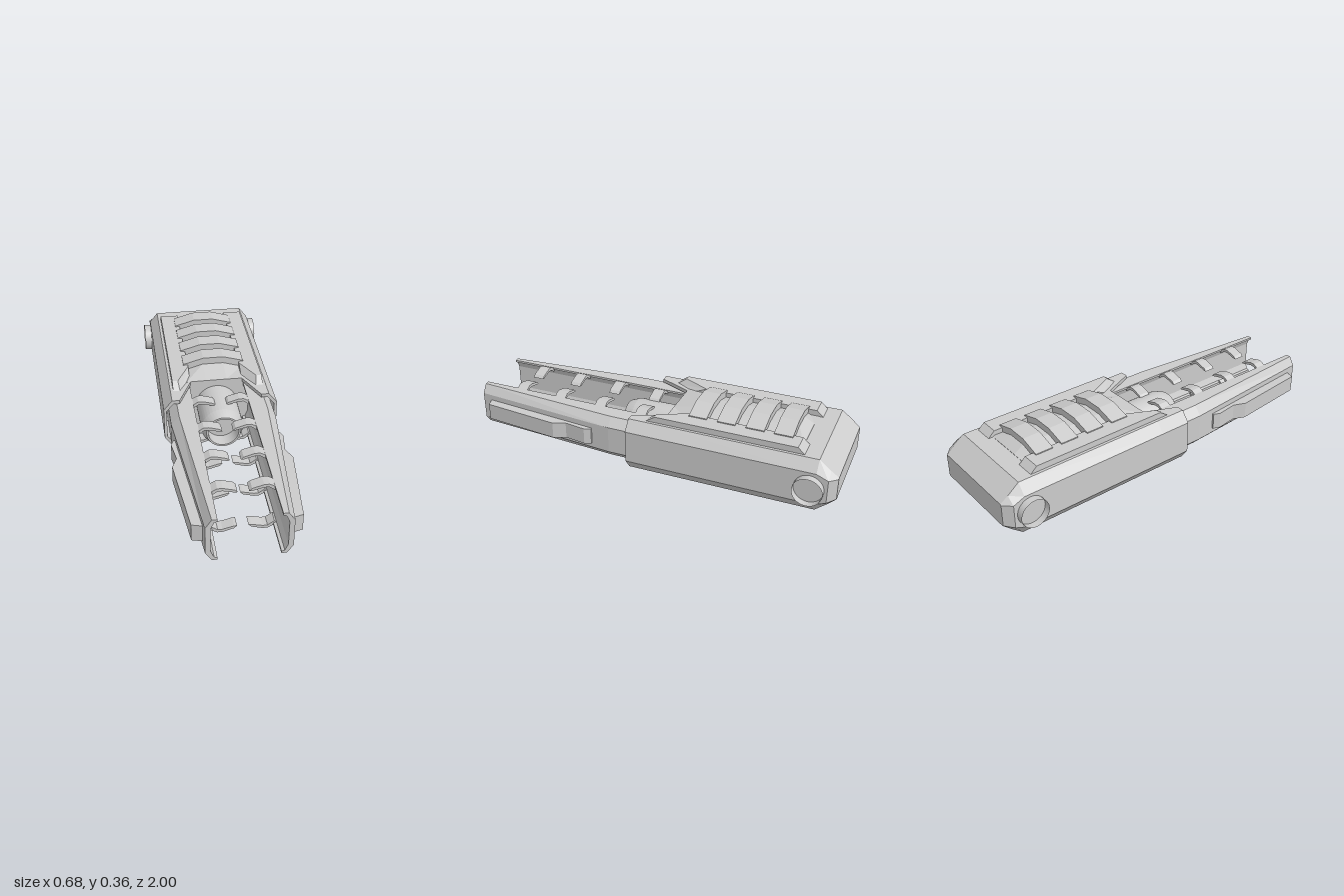
import * as THREE from 'three';
import { toCreasedNormals } from 'three/addons/utils/BufferGeometryUtils.js';

const material = new THREE.MeshStandardMaterial({ color: 0xcccccc });
const openMaterial = new THREE.MeshStandardMaterial({ color: 0xcccccc, side: THREE.DoubleSide });

// Flat-shaded solid through matching [x, y] cross-sections at rising depths, capped at both ends
function loft(sections, depths) {
  const vecs = sections.map(s => s.map(([x, y]) => new THREE.Vector2(x, y)));
  if (THREE.ShapeUtils.isClockWise(vecs[0])) vecs.forEach(s => s.reverse());
  const pos = [];
  const put = (k, i) => pos.push(vecs[k][i].x, vecs[k][i].y, depths[k]);
  const n = vecs[0].length, last = vecs.length - 1;
  for (let k = 0; k < last; k++) {
    for (let i = 0; i < n; i++) {
      const j = (i + 1) % n;
      put(k, i); put(k, j); put(k + 1, j);
      put(k, i); put(k + 1, j); put(k + 1, i);
    }
  }
  for (const [a, b, c] of THREE.ShapeUtils.triangulateShape(vecs[0], [])) {
    put(0, a); put(0, c); put(0, b);
  }
  for (const [a, b, c] of THREE.ShapeUtils.triangulateShape(vecs[last], [])) {
    put(last, a); put(last, b); put(last, c);
  }
  const geo = new THREE.BufferGeometry();
  geo.setAttribute('position', new THREE.Float32BufferAttribute(pos, 3));
  geo.computeVertexNormals();
  return geo;
}

// Solid through [x, z] plan outlines at rising heights
function planLoft(plans, heights) {
  return loft(plans.map(p => p.map(([x, z]) => [x, -z])), heights).rotateX(-Math.PI / 2);
}

// Chamfered box section: half width, half flat width, then the four heights
function octagon(w, f, y0, y1, y2, y3) {
  return [[-f, y0], [f, y0], [w, y1], [w, y2], [f, y3], [-f, y3], [-w, y2], [-w, y1]];
}

const flip = (pts, s) => pts.map(([x, y]) => [s * x, y]);

export function createModel() {
  const model = new THREE.Group();
  const add = (name, geo, mat = material, parent = model) => {
    const mesh = new THREE.Mesh(geo, mat);
    mesh.name = name;
    parent.add(mesh);
    return mesh;
  };

  // Main housing, bevelled at the back
  add('housing', loft([
    octagon(0.257, 0.25, 0.085, 0.09, 0.205, 0.21),
    octagon(0.3, 0.255, 0.05, 0.085, 0.21, 0.242),
    octagon(0.3, 0.255, 0, 0.06, 0.235, 0.29),
    octagon(0.3, 0.255, 0, 0.06, 0.235, 0.29),
  ], [-1, -0.96, -0.9, -0.08]));

  // Arched deck between the rails
  const arch = (h) => [[-0.16, 0.28], [0.16, 0.28], [0.16, 0.291], [0.055, 0.292 + h],
    [-0.055, 0.292 + h], [-0.16, 0.291]];
  add('topDeck', loft([arch(0), arch(0.03), arch(0.03), arch(0)], [-0.8, -0.75, -0.21, -0.08]));

  // Four raised ribs across the deck
  const rib = [[-0.165, 0.285], [0.165, 0.285], [0.165, 0.327], [0.055, 0.358],
    [-0.055, 0.358], [-0.165, 0.327]];
  for (const z of [-0.745, -0.6, -0.45, -0.3]) {
    add('topRib', loft([rib, rib], [z, z + 0.095]));
  }

  // Barrel in the front opening
  const barrel = [[0.11, -0.08], [0.11, 0.15], [0.09, 0.2], [0.08, 0.2], [0.08, 0.12], [0, 0.12]]
    .map(p => new THREE.Vector2(...p));
  const barrelGeo = toCreasedNormals(new THREE.LatheGeometry(barrel, 40), 0.4);
  add('barrel', barrelGeo.rotateX(Math.PI / 2).translate(0, 0.145, 0));

  for (const s of [1, -1]) {
    const side = new THREE.Group();
    side.name = s > 0 ? 'leftSide' : 'rightSide';
    model.add(side);
    const put = (name, geo, mat) => add(name, geo, mat, side);

    // Thin front shell, with a slot that widens forwards
    const shell = (slot) => flip([
      [slot, 0.29], [0.255, 0.29], [0.3, 0.235], [0.3, 0.06], [0.255, 0], [slot, 0],
      [slot, 0.02], [0.247, 0.02], [0.285, 0.067], [0.285, 0.227], [0.247, 0.27], [slot, 0.27],
    ], s);
    put('frontShell', loft([shell(0.14), shell(0.215)], [-0.08, 0.09]));

    // Channel-shaped prong, narrowing to the tip
    const channel = (flat, w) => flip([
      [0.145, 0.265], [flat, 0.265], [w, 0.22], [w, 0.073], [flat, 0.03], [0.145, 0.03],
      [0.145, 0.042], [0.16, 0.046], [0.175, 0.08], [0.175, 0.213], [0.16, 0.249], [0.145, 0.253],
    ], s);
    put('prong', loft([channel(0.23, 0.272), channel(0.23, 0.272), channel(0.17, 0.2)],
      [-0.08, 0.2, 1]));

    // Stepped bar on the outside of the prong
    const bar = flip([[0.21, 0.3], [0.272, 0.3], [0.286, 0.335], [0.27, 0.45],
      [0.297, 0.515], [0.254, 0.935], [0.2, 0.95]], s);
    put('prongBar', planLoft([bar, bar], [0.1, 0.19]));

    // Hooked teeth along the upper and lower lips
    const tooth = [[0.165, 0.252], [0.12, 0.277], [0.095, 0.277], [0.04, 0.261], [0.027, 0.247],
      [0.04, 0.247], [0.095, 0.261], [0.118, 0.261], [0.15, 0.238]];
    const upper = flip(tooth, s);
    const lower = upper.map(([x, y]) => [x, 0.293 - y]);
    for (const z of [0.04, 0.275, 0.515, 0.75]) {
      put('upperTooth', loft([upper, upper], [z, z + 0.06]));
      put('lowerTooth', loft([lower, lower], [z, z + 0.06]));
    }

    // Top rail with sloped ends and a slanted inner corner
    const railBase = flip([[0.14, -0.83], [0.24, -0.83], [0.24, 0.005], [0.203, 0.005], [0.14, -0.105]], s);
    const railTop = flip([[0.14, -0.79], [0.24, -0.79], [0.24, -0.05], [0.21, -0.05], [0.14, -0.19]], s);
    put('topRail', planLoft([railBase, railTop], [0.285, 0.322]));

    // Open ring near the back of the side wall
    const ring = new THREE.CylinderGeometry(0.075, 0.075, 0.05, 32, 1, true);
    put('sideRing', ring.rotateZ(Math.PI / 2).translate(s * 0.313, 0.145, -0.87), openMaterial);
  }
  return model;
}
